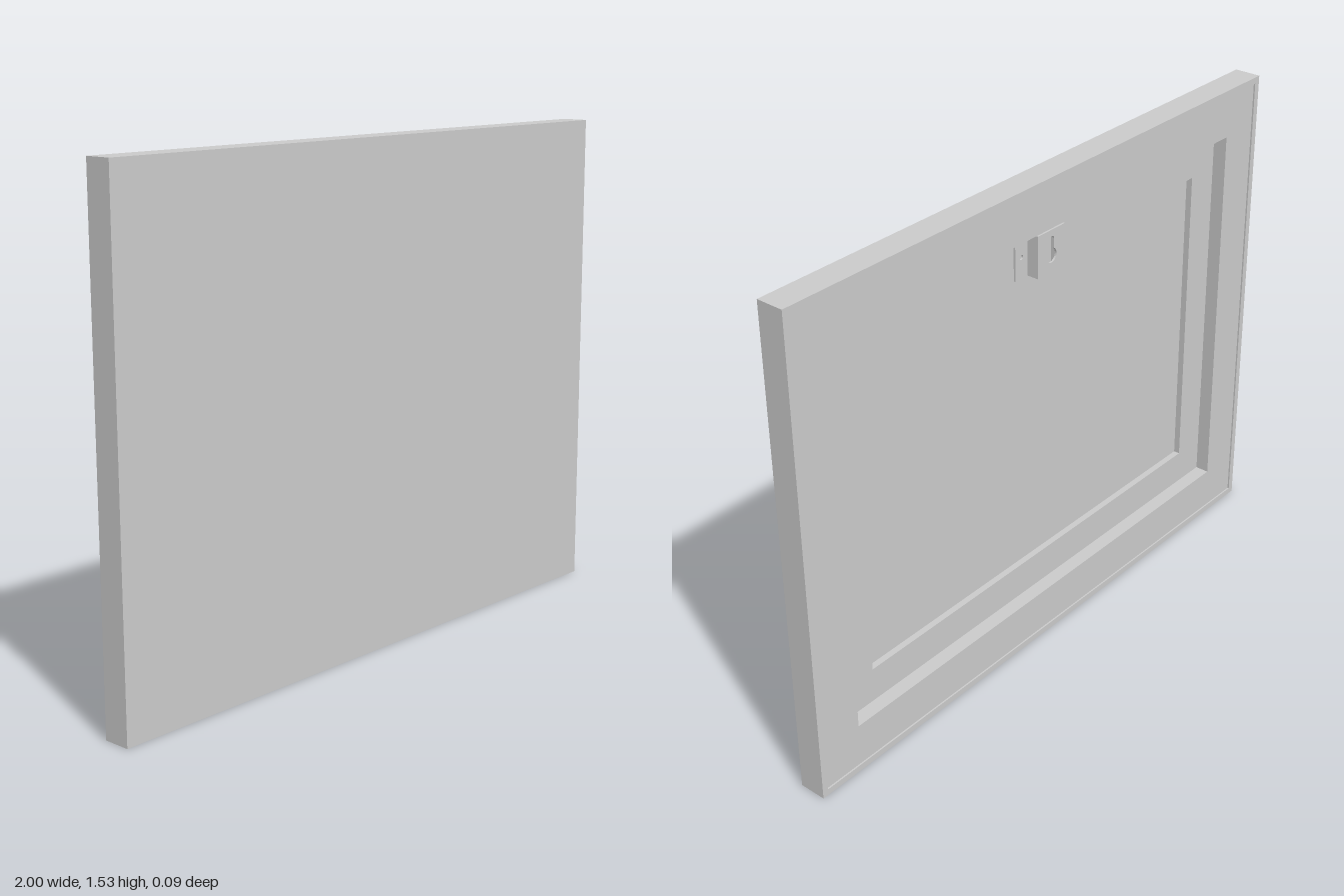
import * as THREE from 'three';

const W = 2, H = 1.53, FRONT = 0.0425, BACK = -0.0425;
const material = new THREE.MeshStandardMaterial({ color: 0xcccccc, flatShading: true });

// Rectangle outline inset evenly from the outer edge of the panel
function insetRect(inset, Type = THREE.Shape) {
  const x = W / 2 - inset, y0 = inset, y1 = H - inset;
  return new Type([[-x, y0], [x, y0], [x, y1], [-x, y1]].map(p => new THREE.Vector2(...p)));
}

function extrude(name, shape, zBack, zFront) {
  const geometry = new THREE.ExtrudeGeometry(shape, { depth: zFront - zBack, bevelEnabled: false, curveSegments: 12 });
  geometry.translate(0, 0, zBack);
  const mesh = new THREE.Mesh(geometry, material);
  mesh.name = name;
  return mesh;
}

// Rectangular ring between two insets
function ring(name, outer, inner, zBack, zFront) {
  const shape = insetRect(outer);
  shape.holes.push(insetRect(inner, THREE.Path));
  return extrude(name, shape, zBack, zFront);
}

function rect(x0, x1, y0, y1) {
  return new THREE.Shape([[x0, y0], [x1, y0], [x1, y1], [x0, y1]].map(p => new THREE.Vector2(...p)));
}

// Hat-shaped wall bracket with a keyhole and two screw holes
function createHanger(ledgeZ) {
  const hanger = new THREE.Group();
  hanger.name = 'hanger';
  const y0 = H - 0.29, y1 = H - 0.16, t = 0.006, half = 0.058, full = 0.11;
  const plateZ = BACK + 0.006;

  const plate = rect(-half, half, y0, y1);
  const keyhole = new THREE.Path();
  const cy = H - 0.238, r = 0.022, slot = 0.011, top = H - 0.19;
  const a = Math.acos(slot / r);
  keyhole.absarc(0, cy, r, Math.PI - a, 2 * Math.PI + a, false);
  keyhole.lineTo(slot, top);
  keyhole.absarc(0, top, slot, 0, Math.PI, false);
  keyhole.closePath();
  plate.holes.push(keyhole);
  hanger.add(extrude('hangerPlate', plate, plateZ, plateZ + t));

  for (const side of [-1, 1]) {
    const inner = side * (half - t), outer = side * half, end = side * full;
    const web = rect(Math.min(inner, outer), Math.max(inner, outer), y0, y1);
    hanger.add(extrude('hangerWeb', web, plateZ + t, ledgeZ));
    const flange = rect(Math.min(outer, end), Math.max(outer, end), y0, y1);
    const hole = new THREE.Path();
    hole.absarc(side * (half + full) / 2, (y0 + y1) / 2, 0.007, 0, Math.PI * 2);
    flange.holes.push(hole);
    hanger.add(extrude('hangerFlange', flange, ledgeZ - t, ledgeZ));
  }
  return hanger;
}

export function createModel() {
  const model = new THREE.Group();
  model.name = 'wallPanel';
  const panelZ = 0.0275, ledgeZ = 0.0075;

  // Face sheet and the edge band folded around it
  model.add(extrude('frontPanel', insetRect(0), panelZ, FRONT));
  model.add(ring('edgeBand', 0, 0.02, BACK, panelZ));

  // Stepped frame set just inside the band
  model.add(ring('backFrame', 0.02, 0.155, BACK + 0.005, ledgeZ));
  model.add(ring('innerLedge', 0.02, 0.265, ledgeZ, panelZ));

  model.add(createHanger(ledgeZ));
  return model;
}
